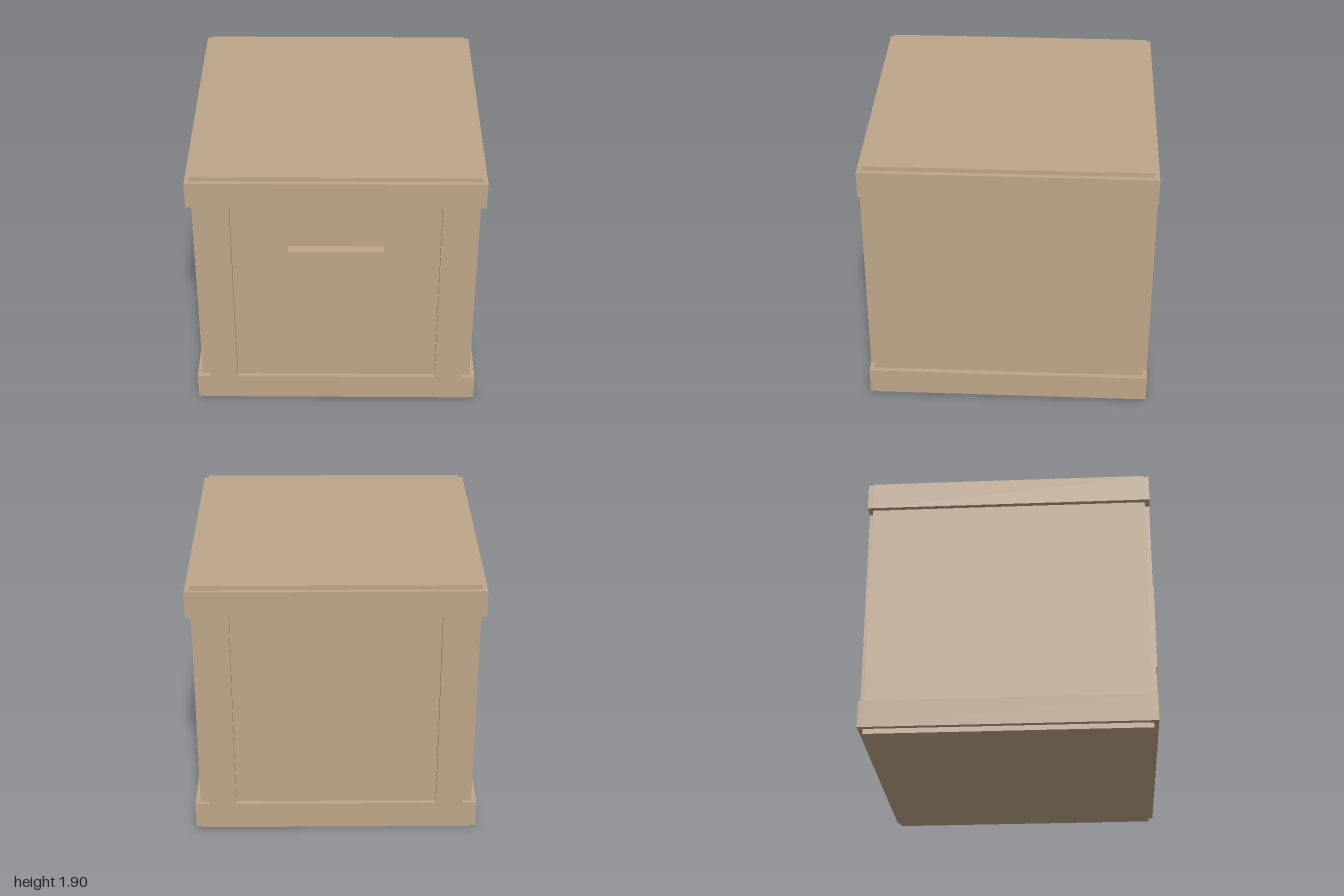
import * as THREE from 'three';

const wood = new THREE.MeshStandardMaterial({ color: 0xbda588 });
wood.name = 'tan wood';

// Main dimensions
const CORE_X = 0.95, BAND_X = 0.985, STILE_OUT = 0.89, STILE_IN = 0.70;
const HEIGHT = 1.905, LOW = [0.035, 0.222], HIGH = [1.69, 1.875];
const FRONT = 0.935, BACK = -0.967, FRAME_DEPTH = 0.033;

function addBox(group, name, [x0, x1], [y0, y1], [z0, z1]) {
  const mesh = new THREE.Mesh(new THREE.BoxGeometry(x1 - x0, y1 - y0, z1 - z0), wood);
  mesh.position.set((x0 + x1) / 2, (y0 + y1) / 2, (z0 + z1) / 2);
  mesh.name = name;
  group.add(mesh);
}

// Frame outline: wide rails above and below, inset stiles, square opening
function frameGeometry() {
  const half = [
    [BAND_X, LOW[0]], [BAND_X, LOW[1]], [STILE_OUT, LOW[1]],
    [STILE_OUT, HIGH[0]], [BAND_X, HIGH[0]], [BAND_X, HIGH[1]],
  ];
  const mirrored = half.map(([x, y]) => [-x, y]).reverse();
  const shape = new THREE.Shape([...half, ...mirrored].map(([x, y]) => new THREE.Vector2(x, y)));
  shape.holes.push(new THREE.Path([
    [-STILE_IN, LOW[1]], [-STILE_IN, HIGH[0]], [STILE_IN, HIGH[0]], [STILE_IN, LOW[1]],
  ].map(([x, y]) => new THREE.Vector2(x, y))));
  return new THREE.ExtrudeGeometry(shape, { depth: FRAME_DEPTH, bevelEnabled: false });
}

export function createModel() {
  const crate = new THREE.Group();
  crate.name = 'crate';

  // Solid body
  addBox(crate, 'body', [-CORE_X, CORE_X], [0, HEIGHT], [BACK, FRONT]);

  // Raised frames on the front and back
  const geometry = frameGeometry();
  for (const [name, z] of [['frontFrame', FRONT], ['backFrame', BACK - FRAME_DEPTH]]) {
    const frame = new THREE.Mesh(geometry, wood);
    frame.name = name;
    frame.position.z = z;
    crate.add(frame);
  }

  // Rails along both sides, joining the frames
  for (const [level, span] of [['Lower', LOW], ['Upper', HIGH]]) {
    addBox(crate, `left${level}Rail`, [CORE_X, BAND_X], span, [BACK, FRONT]);
    addBox(crate, `right${level}Rail`, [-BAND_X, -CORE_X], span, [BACK, FRONT]);
  }

  // Square plate on the front panel
  addBox(crate, 'frontPlate', [-0.32, 0.32], [0.715, 1.355], [FRONT, 1]);

  return crate;
}
